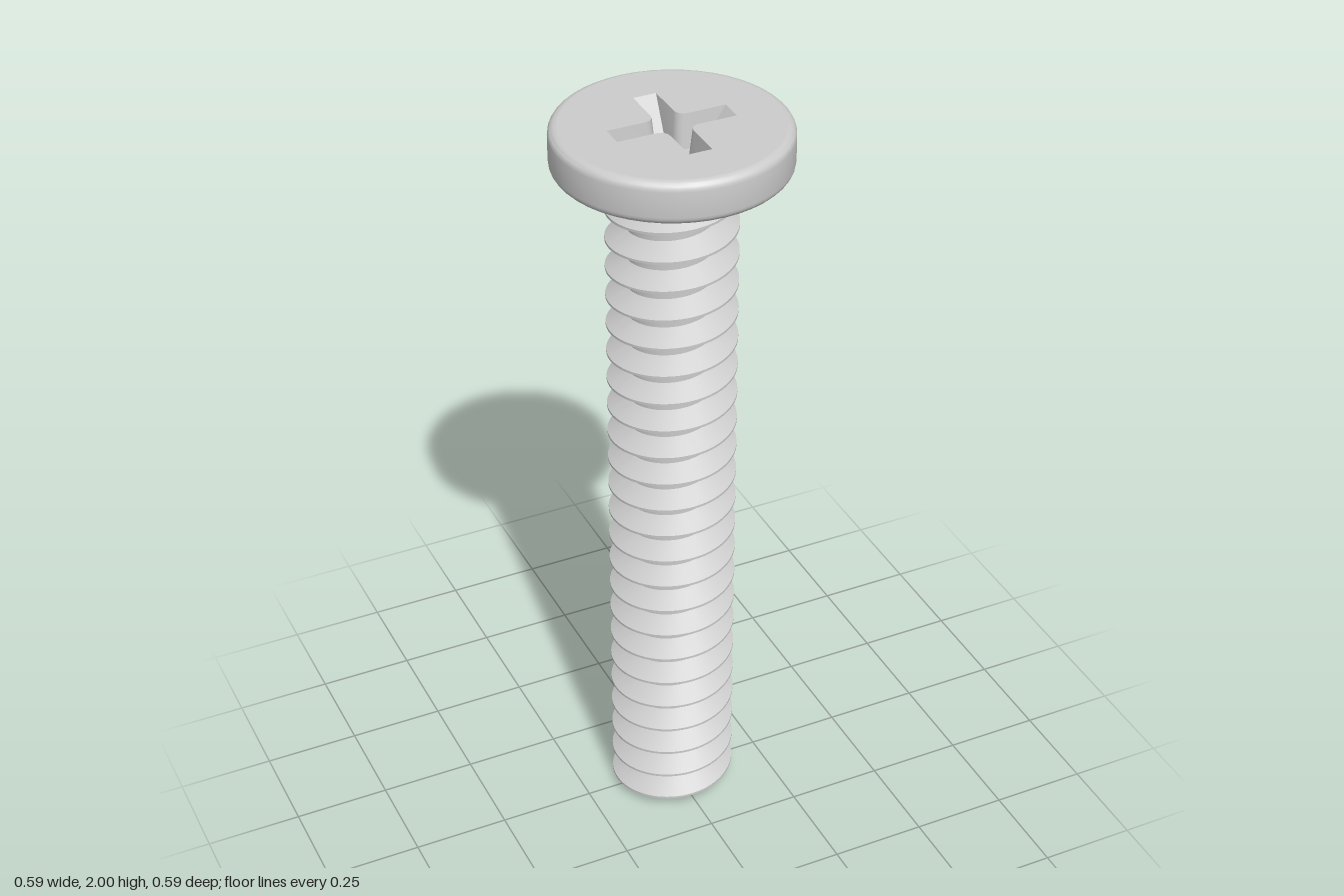
import * as THREE from 'three';
import { toCreasedNormals } from 'three/addons/utils/BufferGeometryUtils.js';

const TOP = 2, UNDER = 1.89, HEAD_R = 0.293, FILLET = 0.022, SIDES = 48;
const CREST = 0.163, ROOT = 0.112, PITCH = 0.08;
const GROOVE_TOP = 1.862;   // groove height on the +x side, last turn
const GROOVE_END = 0.2;     // fraction of a turn past +x where the groove stops
const DEPTH = 0.09;

const material = new THREE.MeshStandardMaterial({ color: 0xcccccc });

function part(name, geometry) {
  const mesh = new THREE.Mesh(geometry, material);
  mesh.name = name;
  return mesh;
}

function fromTriangles(positions) {
  const g = new THREE.BufferGeometry();
  g.setAttribute('position', new THREE.Float32BufferAttribute(positions, 3));
  return g;
}

// Counter-clockwise plus-shaped outline with rounded inner corners
function crossOutline(length, half, r) {
  const points = [], c = half + r, origin = new THREE.Vector2();
  for (let q = 0; q < 4; q++) {
    const quarter = [new THREE.Vector2(length, -half), new THREE.Vector2(length, half)];
    for (let i = 0; i <= 4; i++) {
      const a = -Math.PI / 2 * (1 + i / 4);
      quarter.push(new THREE.Vector2(c + r * Math.cos(a), c + r * Math.sin(a)));
    }
    quarter.forEach(p => points.push(p.rotateAround(origin, q * Math.PI / 2)));
  }
  return points;
}

// Disc head with rounded rims; its top is left open for the recessed face
function headSide() {
  const profile = [new THREE.Vector2(0, UNDER)];
  const rim = (y, start) => {
    for (let i = 0; i <= 5; i++) {
      const a = start + i / 5 * Math.PI / 2;
      profile.push(new THREE.Vector2(HEAD_R - FILLET + FILLET * Math.cos(a), y + FILLET * Math.sin(a)));
    }
  };
  rim(UNDER + FILLET, -Math.PI / 2);
  rim(TOP - FILLET, 0);
  return toCreasedNormals(new THREE.LatheGeometry(profile, SIDES), 0.6);
}

function flatFace(shape, y) {
  return new THREE.ShapeGeometry(shape).rotateX(-Math.PI / 2).translate(0, y, 0);
}

// Tapered walls between the upper and lower cross outlines
function recessWalls(upper, lower) {
  const out = [];
  const n = upper.length;
  for (let i = 0; i < n; i++) {
    const j = (i + 1) % n;
    const t = k => [upper[k].x, TOP, -upper[k].y];
    const b = k => [lower[k].x, TOP - DEPTH, -lower[k].y];
    out.push(...t(i), ...t(j), ...b(i), ...t(j), ...b(j), ...b(i));
  }
  return toCreasedNormals(fromTriangles(out), 0.5);
}

// Threaded shank: rows follow the right-hand helix, clamped at both ends
function threadedShank() {
  const segs = 72, out = [];
  const knots = [[-0.5, CREST], [-0.46, CREST], [-0.1, ROOT], [0.1, ROOT], [0.46, CREST]];
  const radiusAt = phase => {
    const u = phase - Math.floor(phase + 0.5);
    const t = (Math.abs(u) - 0.1) / 0.36;
    return THREE.MathUtils.lerp(ROOT, CREST, THREE.MathUtils.clamp(t, 0, 1));
  };
  const point = (turn, knot, s) => {
    const f = s / segs, a = f * Math.PI * 2;
    const y = THREE.MathUtils.clamp(GROOVE_TOP + PITCH * (turn + knots[knot][0] + f), 0, UNDER);
    const phase = (y - GROOVE_TOP) / PITCH - f;
    // the groove runs out shortly after its last pass over +x
    const past = phase > -0.5 ? THREE.MathUtils.clamp((f - GROOVE_END + 0.04) / 0.06, 0, 1) : 0;
    const r = phase > 0.5 ? CREST : THREE.MathUtils.lerp(radiusAt(phase), CREST, past);
    return [r * Math.cos(a), y, -r * Math.sin(a)];
  };
  const rows = [];
  for (let turn = -25; turn <= 2; turn++) {
    for (let k = 0; k < knots.length; k++) rows.push([turn, k]);
  }
  const triangle = (a, b, c) => {
    // skip triangles flattened by the clamping
    const same = (p, q) => Math.hypot(p[0] - q[0], p[1] - q[1], p[2] - q[2]) < 1e-7;
    if (!same(a, b) && !same(b, c) && !same(a, c)) out.push(...a, ...b, ...c);
  };
  for (let i = 0; i < rows.length - 1; i++) {
    for (let s = 0; s < segs; s++) {
      const a = point(...rows[i], s), b = point(...rows[i], s + 1);
      const c = point(...rows[i + 1], s + 1), d = point(...rows[i + 1], s);
      triangle(a, b, c);
      triangle(a, c, d);
    }
  }
  // flat tip
  const tip = [];
  for (let s = 0; s < segs; s++) tip.push(0, 0, 0, ...point(-25, 0, s + 1), ...point(-25, 0, s));
  return { thread: toCreasedNormals(fromTriangles(out), 0.5), tip: toCreasedNormals(fromTriangles(tip), 0.5) };
}

export function createModel() {
  const screw = new THREE.Group();
  screw.name = 'machineScrew';

  const head = new THREE.Group();
  head.name = 'head';
  const upper = crossOutline(0.154, 0.03, 0.024);
  const lower = crossOutline(0.087, 0.022, 0.026);
  const disc = new THREE.Shape();
  const rim = [];
  for (let i = 0; i < SIDES; i++) {
    const a = i / SIDES * Math.PI * 2;
    rim.push(new THREE.Vector2(Math.cos(a), Math.sin(a)).multiplyScalar(HEAD_R - FILLET));
  }
  disc.setFromPoints(rim);
  disc.holes.push(new THREE.Path(upper));
  head.add(
    part('headSide', headSide()),
    part('headTop', flatFace(disc, TOP)),
    part('driveRecessWalls', recessWalls(upper, lower)),
    part('driveRecessFloor', flatFace(new THREE.Shape(lower), TOP - DEPTH)),
  );

  const { thread, tip } = threadedShank();
  const shank = new THREE.Group();
  shank.name = 'shank';
  shank.add(part('thread', thread), part('tip', tip));

  screw.add(head, shank);
  return screw;
}
